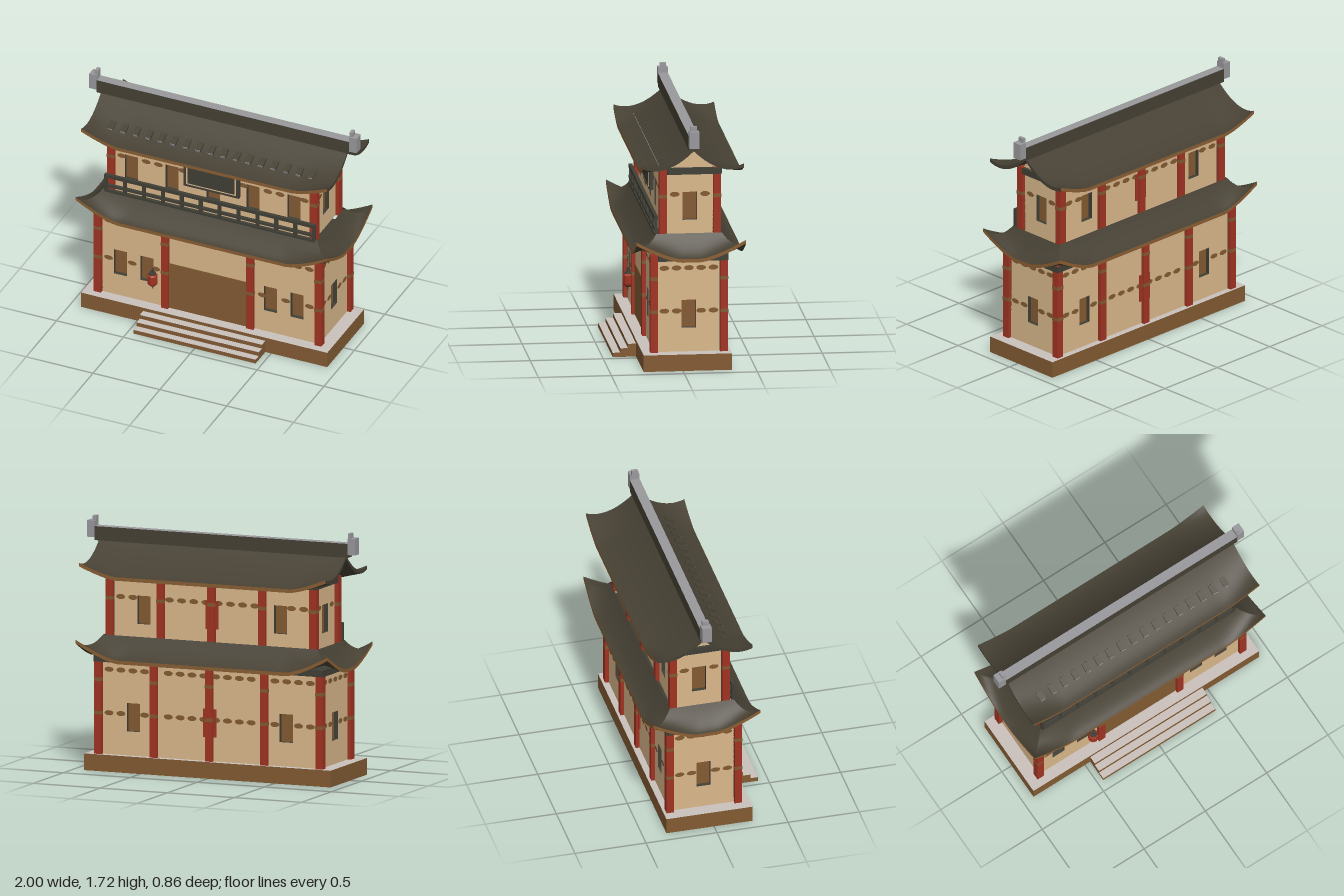
import * as THREE from 'three';

const mat = (name, color, side = THREE.FrontSide) => {
  const m = new THREE.MeshStandardMaterial({ color, side });
  m.name = name;
  return m;
};

export function createModel() {
  const plaster = mat('plaster', 0xdab88b);
  const wood = mat('wood', 0x835b33);
  const red = mat('red paint', 0xa03322);
  const roofTile = mat('roof tile', 0x474134, THREE.DoubleSide);
  const eaveWood = mat('eave wood', 0x8a5e33, THREE.DoubleSide);
  const dark = mat('dark timber', 0x403f36);
  const stone = mat('stone', 0xcac1bc);
  const ridgeGrey = mat('ridge grey', 0x99999d);

  const model = new THREE.Group();
  model.name = 'gatehouse';
  const group = (name, parent = model) => {
    const g = new THREE.Group();
    g.name = name;
    parent.add(g);
    return g;
  };
  const add = (parent, name, geometry, material) => {
    const m = new THREE.Mesh(geometry, material);
    m.name = name;
    parent.add(m);
    return m;
  };
  // box from its two extreme corners
  const box = (parent, name, material, x0, x1, y0, y1, z0, z1) => {
    const m = add(parent, name, new THREE.BoxGeometry(x1 - x0, y1 - y0, z1 - z0), material);
    m.position.set((x0 + x1) / 2, (y0 + y1) / 2, (z0 + z1) / 2);
    return m;
  };
  // grid surface from f(u, v) -> [x, y, z]
  const surface = (parent, name, material, nu, nv, f) => {
    const g = new THREE.PlaneGeometry(1, 1, nu, nv);
    const p = g.attributes.position;
    for (let i = 0; i < p.count; i++) p.setXYZ(i, ...f(p.getX(i) + 0.5, 0.5 - p.getY(i)));
    g.computeVertexNormals();
    return add(parent, name, g, material);
  };

  // Platform, open below: wooden side boards around a stone floor slab
  const platform = group('platform');
  const stepMats = [wood, wood, stone, wood, wood, wood];
  const floorMats = [wood, wood, stone, stone, wood, wood];
  box(platform, 'floorSlab', floorMats, -0.92, 0.92, 0.107, 0.115, -0.335, 0.27);
  for (const z of [-0.335, 0.266]) box(platform, 'sideBoard', wood, -0.92, 0.92, 0, 0.107, z, z + 0.004);
  for (const x of [-0.92, 0.916]) box(platform, 'endBoard', wood, x, x + 0.004, 0, 0.107, -0.331, 0.266);
  for (let i = 0; i < 3; i++)
    box(platform, 'step', stepMats, -0.457, 0.457, 0.03 * i, 0.03 * (i + 1), 0.27, 0.43 - 0.052 * i);

  // Storeys: a wooden core seen through window openings, wrapped in plaster walls
  const spotGeo = new THREE.CircleGeometry(1, 10).scale(0.034, 0.018, 1);
  const inside = (x, y, h) => Math.abs(x - h[0]) < h[2] / 2 && Math.abs(y - h[1]) < h[3] / 2 + 0.01;
  const storey = (name, s) => {
    const g = group(name);
    const { hx, zf, zb, y0, y1, winY, rows, bands } = s;
    const zc = (zf + zb) / 2, t = 0.03;
    box(g, 'core', wood, -hx + t, hx - t, y0, y1 - 0.01, zb + t, zf - t);
    const wall = (label, half, x, z, ry, windows, columns, blocked = []) => {
      const w = group(label, g);
      w.position.set(x, 0, z);
      w.rotation.y = ry;
      const holes = windows.map((cx) => [cx, winY, 0.098, 0.195]);
      const shape = new THREE.Shape([[-half, y0], [half, y0], [half, y1], [-half, y1]].map((p) => new THREE.Vector2(...p)));
      for (const [cx, cy, a, b] of holes)
        shape.holes.push(new THREE.Path([[-1, -1], [-1, 1], [1, 1], [1, -1]].map(
          ([i, j]) => new THREE.Vector2(cx + i * a / 2, cy + j * b / 2))));
      const geo = new THREE.ExtrudeGeometry(shape, { depth: t, bevelEnabled: false }).translate(0, 0, -t);
      add(w, 'wallPanel', geo, [plaster, dark]);
      // painted spots in rows, skipping openings and columns
      const n = Math.round((2 * half - 0.06) / 0.09);
      for (const y of rows) for (let i = 0; i < n; i++) {
        const px = -half + 0.03 + (i + 0.5) * (2 * half - 0.06) / n;
        if ([...holes, ...blocked].some((h) => inside(px, y, h))) continue;
        if (columns.some((c) => Math.abs(c - px) < 0.04)) continue;
        add(w, 'paintedSpot', spotGeo, wood).position.set(px, y, 0.003);
      }
    };
    wall('frontWall', hx, 0, zf, 0, s.front, s.frontColumns, s.blocked);
    wall('backWall', hx, 0, zb, Math.PI, s.back, [-hx / 2, 0, hx / 2]);
    const half = (zf - zb) / 2;
    wall('leftWall', half, hx, zc, Math.PI / 2, [0], []);
    wall('rightWall', half, -hx, zc, -Math.PI / 2, [0], []);
    // square columns with painted bands
    const column = (x, z) => {
      const c = group('column', g), r = 0.026;
      box(c, 'shaft', red, x - r, x + r, y0, y1 + 0.002, z - r, z + r);
      for (const y of bands)
        box(c, 'band', wood, x - r - 0.001, x + r + 0.001, y - 0.012, y + 0.012, z - r - 0.001, z + r + 0.001);
    };
    for (const x of [-hx, ...s.frontColumns, hx]) column(x, zf);
    for (let i = -2; i <= 2; i++) column(i * hx / 2, zb);
    // top beam along the sides and back only
    box(g, 'topBeam', dark, -hx - 0.03, hx + 0.03, y1 - 0.043, y1 + 0.002, zb - 0.03, zf - 0.029);
    // red plates flanking the middle back column
    box(g, 'columnPlate', red, -0.048, 0.048, winY - 0.097, winY + 0.097, zb - 0.009, zb);
    return g;
  };

  const lower = storey('lowerStorey', {
    hx: 0.825, zf: 0.19, zb: -0.29, y0: 0.115, y1: 0.795, winY: 0.378, rows: [0.4, 0.7],
    bands: [0.4, 0.63], front: [-0.663, -0.465, 0.458, 0.658], back: [-0.57, 0.57],
    frontColumns: [-0.323, 0.315], blocked: [[0, 0.3, 0.62, 0.36]],
  });
  box(lower, 'door', wood, -0.3, 0.29, 0.115, 0.472, 0.188, 0.195);

  const upper = storey('upperStorey', {
    hx: 0.758, zf: 0.122, zb: -0.25, y0: 0.9, y1: 1.385, winY: 1.117, rows: [1.2],
    bands: [1.19], front: [-0.612, -0.307, 0, 0.298, 0.603], back: [-0.51, 0.51],
    frontColumns: [],
  });

  // Sign board with a plain inset border
  const sign = group('signBoard', upper);
  box(sign, 'board', dark, -0.208, 0.204, 1.1, 1.29, 0.12, 0.15);
  box(sign, 'border', plaster, -0.188, 0.184, 1.118, 1.272, 0.149, 0.153);
  box(sign, 'field', dark, -0.177, 0.173, 1.129, 1.261, 0.15, 0.156);

  // Gable triangles under the upper roof
  for (const s of [-1, 1]) {
    const tri = new THREE.Shape([new THREE.Vector2(-0.18, 1.38), new THREE.Vector2(0.18, 1.38), new THREE.Vector2(0, 1.55)]);
    const gable = add(upper, 'gable', new THREE.ExtrudeGeometry(tri, { depth: 0.02, bevelEnabled: false }), plaster);
    gable.rotation.y = s * Math.PI / 2;
    gable.position.set(s * 0.745, 0, -0.07);
  }

  // Balcony railing
  const rail = group('railing');
  for (const [y, h] of [[1.043, 0.024], [0.968, 0.016], [0.925, 0.02]])
    box(rail, 'railBar', dark, -0.79, 0.785, y - h / 2, y + h / 2, 0.158, 0.182);
  for (let i = 0; i < 12; i++) {
    const x = -0.779 + i * 0.1414;
    box(rail, 'railPost', dark, x - 0.011, x + 0.011, 0.91, 1.054, 0.16, 0.18);
  }

  // Eaves sweep up within a fixed distance of each corner
  const lift = (fromCorner, reach, v, height) => height * v * v * Math.max(0, 1 - fromCorner / reach) ** 1.4;
  const thick = 0.025;
  const slab = (parent, nu, nv, f) => {
    surface(parent, 'roofTop', roofTile, nu, nv, f);
    const drop = (u, v, k) => { const [x, y, z] = f(u, v); return [x, y - k * thick, z]; };
    surface(parent, 'roofUnderside', roofTile, nu, nv, (u, v) => drop(u, v, 1));
    surface(parent, 'eaveTrim', eaveWood, nu, 1, (u, k) => drop(u, 1, k));
    return drop;
  };

  // Lower skirt roof: four hipped sides around the upper storey
  const skirt = group('lowerRoof');
  const zMid = -0.055;
  const sides = [[0.94, 0.8, 0.375, 0.225], [0.375, 0.225, 0.94, 0.8]];
  for (let k = 0; k < 4; k++) {
    const [outA, inA, outD, inD] = sides[k % 2];
    const side = group('roofSide', skirt);
    side.position.z = zMid;
    side.rotation.y = k * Math.PI / 2;
    slab(side, k % 2 ? 24 : 48, 10, (u, v) => {
      const s = u * 2 - 1;
      const y = 0.787 + 0.148 * (1 - v) ** 1.5 + lift((1 - Math.abs(s)) * outA, 0.31, v, 0.125);
      return [s * (inA + (outA - inA) * v), y, inD + (outD - inD) * v];
    });
  }

  // Upper gabled roof: two concave slopes
  const top = group('upperRoof');
  top.position.z = -0.073;
  for (const s of [0, 1]) {
    const slope = group('roofSlope', top);
    slope.rotation.y = s * Math.PI;
    const drop = slab(slope, 48, 14, (u, v) => {
      const x = (u * 2 - 1) * 0.92;
      return [x, 1.36 + 0.2 * (1 - v) ** 1.7 + lift(0.92 - Math.abs(x), 0.27, v, 0.082), 0.345 * v];
    });
    for (const u of [0, 1]) surface(slope, 'verge', roofTile, 14, 1, (v, k) => drop(u, v, k));
  }
  // row of raised tiles with grey ends
  for (let i = 0; i < 17; i++) {
    const tile = group('raisedTile', top);
    tile.position.set(-0.76 + i * 0.0936, 1.417, 0.188);
    tile.rotation.x = 0.4;
    box(tile, 'tileBody', roofTile, -0.021, 0.021, -0.012, 0.012, -0.034, 0.034);
    box(tile, 'tileEnd', ridgeGrey, -0.017, 0.017, -0.009, 0.009, 0.034, 0.037);
  }

  // Ridge beam with stone cap and end ornaments
  const ridge = group('ridge');
  ridge.position.z = -0.07;
  box(ridge, 'ridgeBeam', roofTile, -0.945, 0.945, 1.55, 1.64, -0.033, 0.033);
  box(ridge, 'ridgeCap', [ridgeGrey, ridgeGrey, ridgeGrey, roofTile, roofTile, roofTile], -0.945, 0.945, 1.64, 1.647, -0.034, 0.034);
  for (const s of [-1, 1]) {
    const end = group('ridgeEnd', ridge);
    end.position.x = s * 0.972;
    box(end, 'endBlock', ridgeGrey, -0.028, 0.028, 1.57, 1.685, -0.034, 0.034);
    const fin = box(end, 'endFin', ridgeGrey, -0.012, 0.012, 1.68, 1.717, -0.022, 0.022);
    fin.position.x = -s * 0.02;
  }

  // Hanging lantern beside the door
  const lantern = group('lantern');
  lantern.position.set(-0.405, 0.34, 0.228);
  const drum = (name, material, r0, r1, y0, y1) => {
    const g = new THREE.CylinderGeometry(r1, r0, y1 - y0, 8).toNonIndexed();
    g.computeVertexNormals();
    add(lantern, name, g, material).position.y = (y0 + y1) / 2;
  };
  drum('lanternBody', red, 0.028, 0.037, -0.045, -0.032);
  drum('lanternBody', red, 0.037, 0.037, -0.032, 0.026);
  drum('lanternBody', red, 0.037, 0.028, 0.026, 0.038);
  drum('lanternCap', dark, 0.026, 0.024, 0.038, 0.05);
  drum('lanternHook', dark, 0.01, 0.01, 0.05, 0.08);
  drum('lanternFoot', dark, 0.018, 0.024, -0.055, -0.045);
  drum('tassel', wood, 0.006, 0.006, -0.078, -0.055);

  return model;
}
